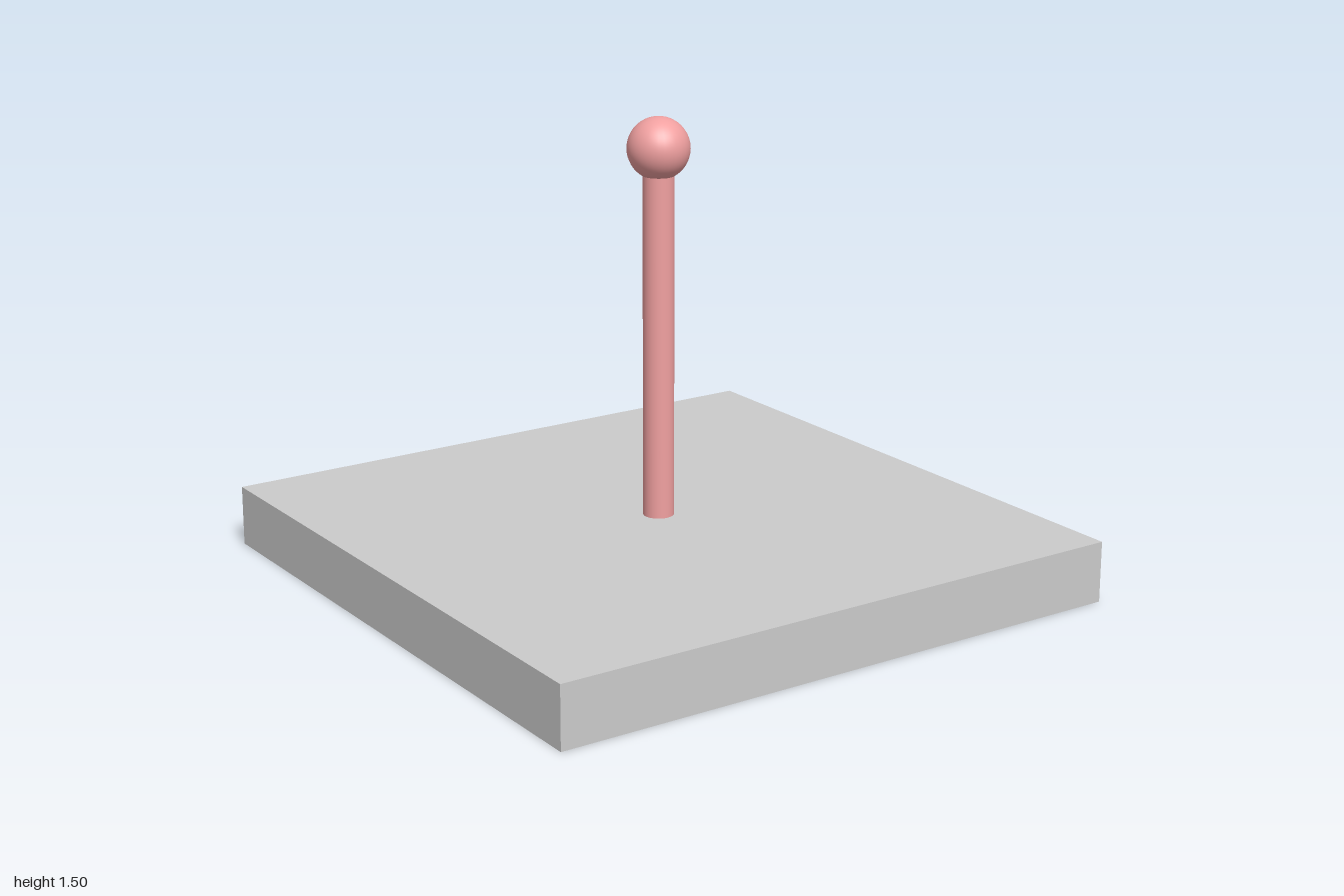
import * as THREE from 'three';

export function createModel() {
  const model = new THREE.Group();
  const grey = new THREE.MeshStandardMaterial({ color: 0xcccccc });
  const pink = new THREE.MeshStandardMaterial({ color: 0xf0a0a0 });

  const add = (name, geometry, material, y) => {
    const mesh = new THREE.Mesh(geometry, material);
    mesh.name = name;
    mesh.position.y = y;
    model.add(mesh);
  };

  // Square slab, upright pole and the ball on its tip
  add('base', new THREE.BoxGeometry(2, 0.2, 2), grey, 0.1);
  add('pole', new THREE.CylinderGeometry(0.05, 0.05, 1.2, 32), pink, 0.8);
  add('ball', new THREE.SphereGeometry(0.1, 32, 32), pink, 1.4);

  return model;
}
